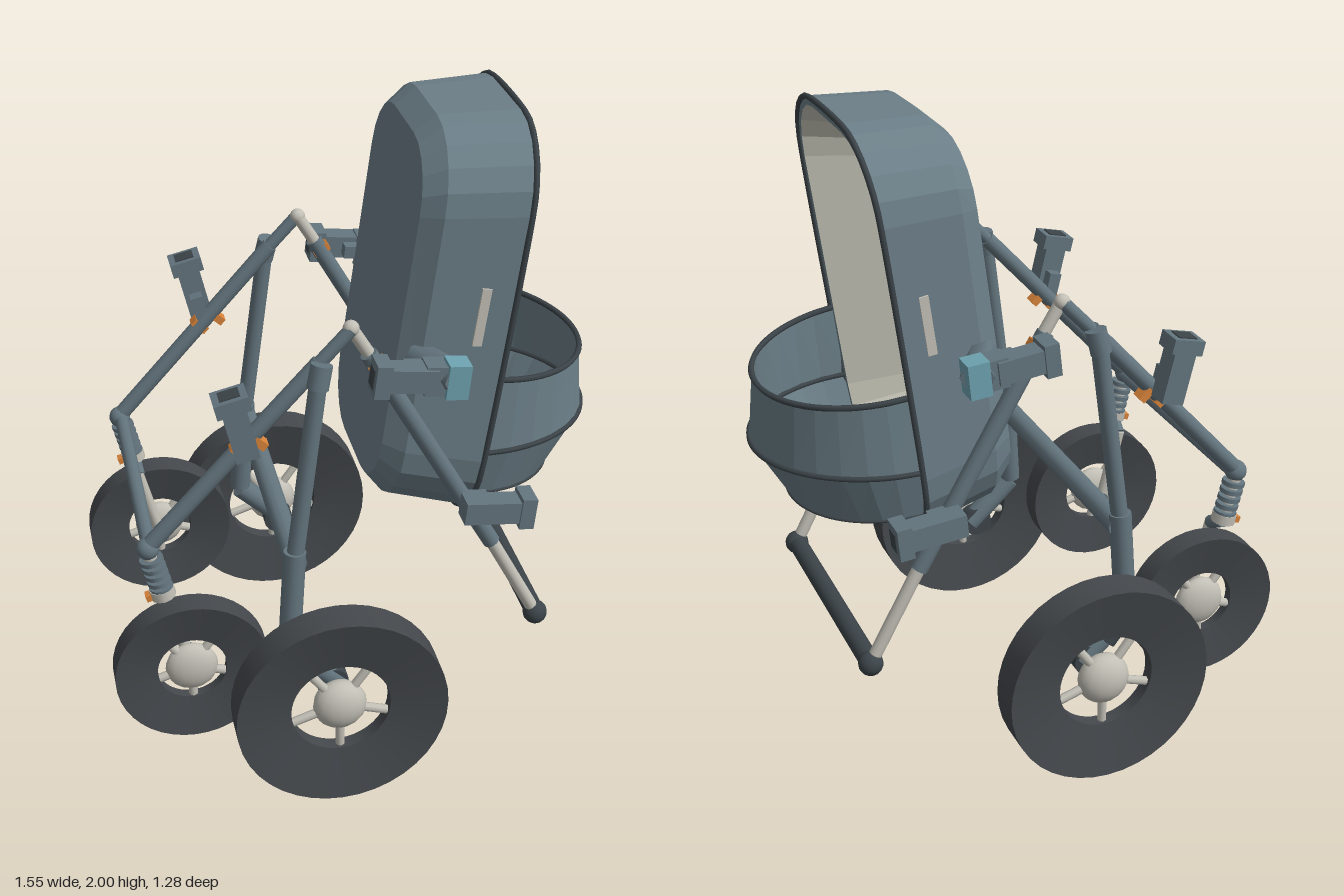
import * as THREE from 'three';
import { toCreasedNormals } from 'three/addons/utils/BufferGeometryUtils.js';

const mat = (name, color, side = THREE.FrontSide) => {
  const m = new THREE.MeshStandardMaterial({ color, side });
  m.name = name;
  return m;
};
const V = (x, y, z) => new THREE.Vector3(x, y, z);

export function createModel() {
  const root = new THREE.Group();
  root.name = 'stroller';
  const shell = mat('slate shell', 0x6c7f88, THREE.DoubleSide);
  const frame = mat('slate frame', 0x64757e);
  const trim = mat('dark trim', 0x3c4449);
  const rubber = mat('tyre rubber', 0x44484c);
  const cream = mat('cream lining', 0xc6c5b8, THREE.DoubleSide);
  const metal = mat('light metal', 0xc2c0b6);
  const teal = mat('teal clamp', 0x6ea2b0);
  const orange = mat('orange clip', 0xd9843a);

  const add = (name, geo, m, parent = root) => {
    const mesh = new THREE.Mesh(geo, m);
    mesh.name = name;
    parent.add(mesh);
    return mesh;
  };
  // Straight tube between two points
  const rod = (name, a, b, r, m, parent = root, sides = 12, r2 = r) => {
    const d = b.clone().sub(a);
    const mesh = add(name, new THREE.CylinderGeometry(r2, r, d.length(), sides), m, parent);
    mesh.position.copy(a).addScaledVector(d, 0.5);
    mesh.quaternion.setFromUnitVectors(V(0, 1, 0), d.normalize());
    return mesh;
  };
  const ball = (name, p, r, m, parent = root) => {
    const mesh = add(name, new THREE.SphereGeometry(r, 16, 12), m, parent);
    mesh.position.copy(p);
    return mesh;
  };
  const box = (name, p, size, angle, m, parent = root) => {
    const mesh = add(name, new THREE.BoxGeometry(...size), m, parent);
    mesh.position.copy(p);
    mesh.rotation.z = angle;
    return mesh;
  };
  // Faceted skin through matching cross-sections, optionally capped at the end
  const loft = (loops, closed, cap) => {
    const pos = [];
    const tri = (...ps) => ps.forEach((p) => pos.push(p.x, p.y, p.z));
    const n = loops[0].length;
    for (let k = 0; k + 1 < loops.length; k++) {
      for (let i = 0; i < (closed ? n : n - 1); i++) {
        const j = (i + 1) % n;
        const [a, b, c, d] = [loops[k][i], loops[k][j], loops[k + 1][j], loops[k + 1][i]];
        tri(a, b, c);
        tri(a, c, d);
      }
    }
    if (cap) {
      const l = loops.at(-1);
      for (let i = 1; i + 1 < n; i++) tri(l[0], l[i], l[i + 1]);
    }
    const g = new THREE.BufferGeometry();
    g.setAttribute('position', new THREE.Float32BufferAttribute(pos, 3));
    g.computeVertexNormals();
    return g;
  };
  const piping = (name, pts, r, closed, parent) => {
    const path = new THREE.CatmullRomCurve3(pts, closed, 'centripetal');
    add(name, new THREE.TubeGeometry(path, 72, r, 6, closed), trim, parent);
  };

  // Tilted rounded rectangle from bottom point to top point
  const tubLoop = (xb, yb, xt, yt, hw, rTop, rBot) => {
    const pts = [];
    const corner = (z, y, r, start) => {
      for (let i = 0; i <= 5; i++) {
        const t = start + (i / 5) * Math.PI / 2;
        const py = y + r * Math.sin(t);
        pts.push(V(xb + (xt - xb) * (py - yb) / (yt - yb), py, z + r * Math.cos(t)));
      }
    };
    corner(hw - rTop, yt - rTop, rTop, 0);
    corner(rTop - hw, yt - rTop, rTop, Math.PI / 2);
    corner(rBot - hw, yb + rBot, rBot, Math.PI);
    corner(hw - rBot, yb + rBot, rBot, Math.PI * 1.5);
    return pts;
  };

  // Seat tub with lining
  const seat = new THREE.Group();
  seat.name = 'seat';
  root.add(seat);
  const rim = tubLoop(0.325, 0.72, 0.5, 1.99, 0.368, 0.23, 0.26);
  const lip = tubLoop(0.328, 0.745, 0.497, 1.965, 0.343, 0.21, 0.24);
  add('seatShell', loft([rim, tubLoop(0.095, 0.785, 0.255, 1.985, 0.34, 0.22, 0.24),
    tubLoop(0.042, 0.86, 0.19, 1.935, 0.295, 0.18, 0.18)], true, true), shell, seat);
  add('seatRim', loft([rim, lip], true), shell, seat);
  add('seatLining', loft([lip, tubLoop(0.14, 0.83, 0.285, 1.925, 0.3, 0.18, 0.18)], true, true), cream, seat);
  piping('seatPiping', rim, 0.009, true, seat);

  // Foot bowl: half ellipses from side point to front point
  const bowlLoop = ([xs, ys, xf, yf, hw]) => Array.from({ length: 17 }, (_, i) => {
    const t = (i / 16 - 0.5) * Math.PI;
    const c = Math.cos(t);
    return V(xs + (xf - xs) * c, ys + (yf - ys) * c, hw * Math.sin(t));
  });
  const bowl = [
    [0.395, 1.25, 0.745, 1.205, 0.358],
    [0.365, 1.01, 0.765, 1.0, 0.366],
    [0.345, 0.85, 0.66, 0.82, 0.325],
    [0.33, 0.765, 0.485, 0.75, 0.2],
    [0.325, 0.725, 0.335, 0.722, 0.12],
  ].map(bowlLoop);
  add('footBowl', loft(bowl, false), shell, seat);
  bowl.slice(0, 3).forEach((l, i) => piping('bowlPiping', l, i < 2 ? 0.009 : 0.005, false, seat));

  // Wheel with dished tyre, spokes and hub
  const wheel = (name, x, y, z, R, hole, w, hubR, s) => {
    const g = new THREE.Group();
    g.name = name;
    g.position.set(x, y, z * s);
    const h = w / 2;
    const profile = [[hole, -h * 0.4], [R, -h], [R, h], [hole, h * 0.4], [hole, -h * 0.4]]
      .map((p) => new THREE.Vector2(...p));
    const tyre = add('tyre', toCreasedNormals(new THREE.LatheGeometry(profile, 40), 0.5), rubber, g);
    tyre.rotation.x = Math.PI / 2;
    ball('hub', V(0, 0, 0), hubR, metal, g).scale.z = Math.min(1, (h * 0.98) / hubR);
    for (let i = 0; i < 5; i++) {
      const t = 0.95 + (i * Math.PI * 2) / 5;
      rod('spoke', V(0, 0, 0), V(Math.cos(t) * (hole + 0.01), Math.sin(t) * (hole + 0.01), 0), 0.014, metal, g, 8);
    }
    root.add(g);
  };

  // Socket bracket: body with a pronged head
  const bracket = (name, x, y, len, angle, s) => {
    const g = new THREE.Group();
    g.name = name;
    g.position.set(x, y, 0.46 * s);
    g.rotation.z = angle;
    box('bracketBody', V(0, 0, 0), [len, 0.07, 0.07], 0, frame, g);
    box('bracketHead', V(len / 2 - 0.02, 0, 0), [0.045, 0.1, 0.085], 0, frame, g);
    box('bracketSocket', V(len / 2 + 0.003, 0, 0), [0.006, 0.06, 0.05], 0, trim, g);
    box('bracketArm', V(-len / 4, 0, -0.045 * s), [0.07, 0.04, 0.06], 0, frame, g);
    root.add(g);
  };

  for (const s of [1, -1]) {
    const P = (x, y, z) => V(x, y, z * s);
    wheel('largeWheel', -0.122, 0.325, 0.585, 0.322, 0.152, 0.11, 0.082, s);
    wheel('smallWheel', -0.54, 0.395, 0.4, 0.235, 0.105, 0.08, 0.08, s);

    // Long sloping tube and suspension
    rod('frontTube', P(-0.65, 0.835, 0.39), P(-0.14, 1.39, 0.4), 0.025, frame);
    rod('frontTubeTop', P(-0.14, 1.39, 0.4), P(-0.05, 1.485, 0.4), 0.02, frame);
    ball('frontKnuckle', P(-0.65, 0.83, 0.39), 0.034, frame);
    rod('springCore', P(-0.65, 0.83, 0.395), P(-0.615, 0.66, 0.395), 0.02, metal);
    for (let i = 0; i < 5; i++) {
      const c = P(-0.643 + i * 0.006, 0.8 - i * 0.025, 0.395);
      rod('springCoil', c, c.clone().add(V(0.003, -0.014, 0)), 0.036, frame);
    }
    rod('springCup', P(-0.618, 0.692, 0.395), P(-0.612, 0.662, 0.395), 0.038, metal);
    box('suspensionClip', P(-0.65, 0.667, 0.395), [0.03, 0.02, 0.03], 0.3, orange);
    rod('forkNeck', P(-0.612, 0.665, 0.395), P(-0.605, 0.63, 0.335), 0.022, frame);
    rod('forkLeg', P(-0.607, 0.64, 0.333), P(-0.545, 0.395, 0.333), 0.018, metal);
    rod('forkAxle', P(-0.54, 0.395, 0.31), P(-0.54, 0.395, 0.4), 0.022, frame);

    // Rear leg, brake and axle
    rod('legTop', P(-0.14, 1.4, 0.43), P(-0.155, 1.33, 0.44), 0.032, frame);
    rod('rearLeg', P(-0.15, 1.36, 0.435), P(-0.23, 0.76, 0.45), 0.026, frame);
    rod('rearLegLower', P(-0.228, 0.8, 0.45), P(-0.25, 0.47, 0.46), 0.034, frame);
    rod('axleArm', P(-0.25, 0.46, 0.465), P(-0.1, 0.32, 0.465), 0.036, frame);
    rod('brakeDrum', P(-0.122, 0.325, 0.44), P(-0.122, 0.325, 0.49), 0.05, trim, root, 16);
    rod('brakePedal', P(-0.25, 0.47, 0.49), P(-0.18, 0.38, 0.49), 0.024, trim);
    rod('axle', P(-0.122, 0.325, 0.47), P(-0.122, 0.325, 0.585), 0.02, metal);

    // Apex joint and handle tube
    ball('apexJoint', P(-0.05, 1.485, 0.395), 0.024, metal);
    rod('apexLink', P(-0.05, 1.485, 0.39), P(0.01, 1.385, 0.39), 0.019, metal);
    rod('handleTube', P(0, 1.4, 0.395), P(0.39, 0.71, 0.39), 0.026, frame);
    rod('handleExtension', P(0.385, 0.72, 0.388), P(0.545, 0.42, 0.385), 0.02, metal);
    ball('handleEnd', P(0.545, 0.42, 0.385), 0.038, trim);

    // Orange release clips on the tubes
    for (const [x, y, a] of [[-0.375, 1.135, 0.83], [-0.32, 1.16, 0.83], [0.025, 1.365, -1.05], [0.31, 0.865, -1.05]])
      box('releaseClip', P(x, y, 0.4), [0.025, 0.054, 0.04], a, orange);

    // Brackets, seat pivot and side slot
    bracket('upperBracket', 0.09, 1.35, 0.18, Math.PI - 0.12, s);
    bracket('lowerBracket', 0.38, 0.875, 0.21, -0.1, s);
    bracket('frontBracket', -0.385, 1.25, 0.2, 1.8, s);
    box('bracketBridge', P(0.19, 1.335, 0.45), [0.09, 0.09, 0.07], -0.1, frame);
    box('pivotClamp', P(0.238, 1.333, 0.465), [0.065, 0.105, 0.07], -0.1, teal);
    rod('pivotStrut', P(0.24, 1.335, 0.48), P(0.16, 1.33, 0.32), 0.05, frame, root, 6);
    box('sideSlot', P(0.338, 1.46, 0.36), [0.028, 0.18, 0.008], -0.14, metal);
  }

  // Cross members
  rod('frontCrossbar', V(-0.645, 0.825, -0.39), V(-0.645, 0.825, 0.39), 0.022, frame);
  rod('rearCrossbar', V(-0.225, 0.755, -0.45), V(-0.225, 0.755, 0.45), 0.034, frame);
  rod('handleBar', V(0.545, 0.42, -0.4), V(0.545, 0.42, 0.4), 0.03, trim, root, 16);
  return root;
}
